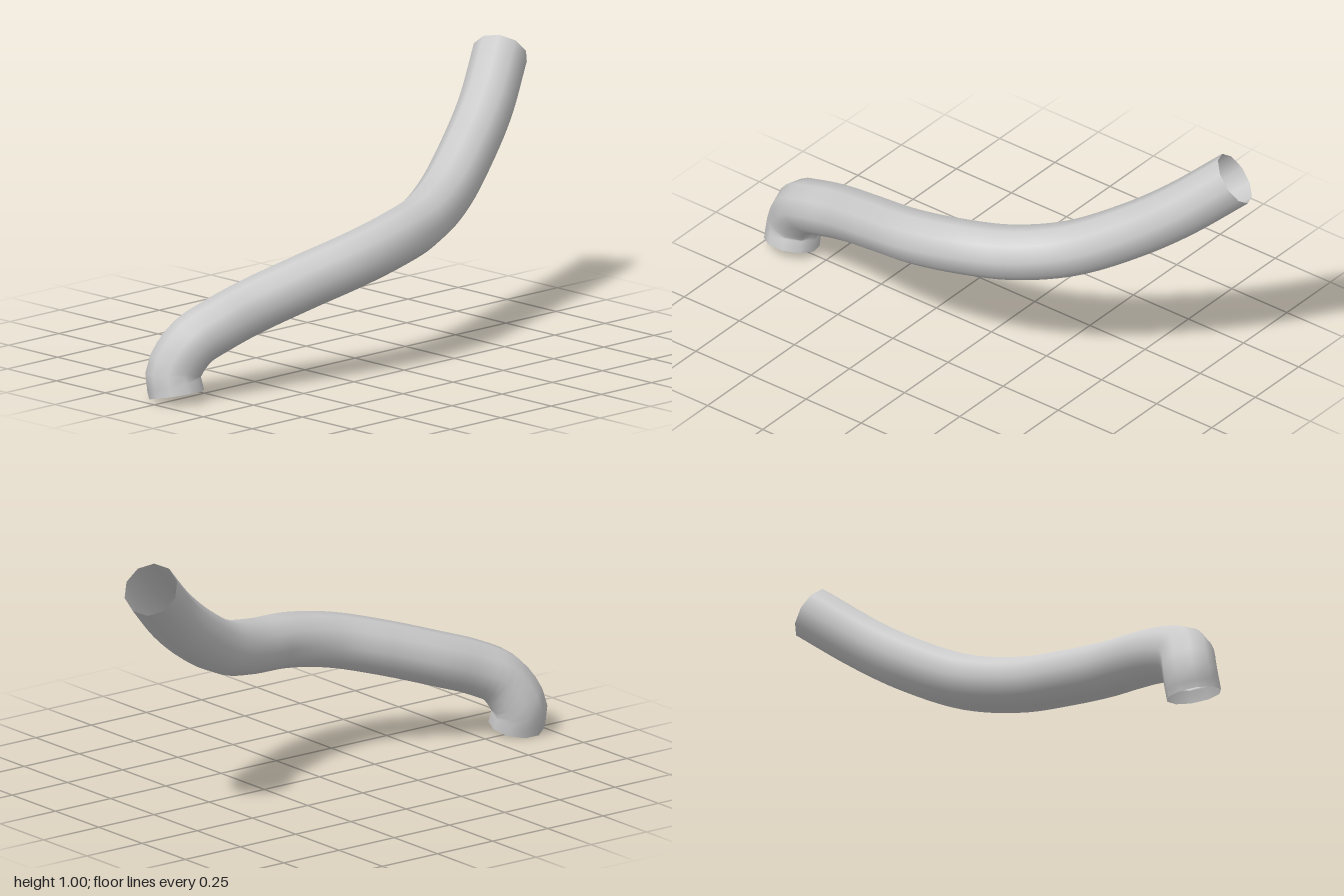
import * as THREE from 'three';

export function createModel() {
  const model = new THREE.Group();
  model.name = 'bentPipe';

  // Centre line, from the low elbow end to the raised far end
  const path = new THREE.CatmullRomCurve3([
    [-0.898, 0.05, 0.01],
    [-0.898, 0.125, -0.008],
    [-0.84, 0.23, 0.022],
    [-0.74, 0.285, 0.055],
    [-0.6, 0.335, 0.085],
    [-0.4, 0.4, 0.145],
    [-0.2, 0.455, 0.193],
    [0, 0.493, 0.188],
    [0.2, 0.52, 0.135],
    [0.4, 0.575, 0.05],
    [0.6, 0.685, -0.04],
    [0.76, 0.8, -0.115],
    [0.934, 0.952, -0.217],
  ].map((p) => new THREE.Vector3(...p)));

  // Open-ended tube with smooth walls
  const pipe = new THREE.Mesh(
    new THREE.TubeGeometry(path, 64, 0.1, 10, false),
    new THREE.MeshStandardMaterial({ color: 0xcccccc, side: THREE.DoubleSide })
  );
  pipe.name = 'pipe';
  model.add(pipe);
  return model;
}
